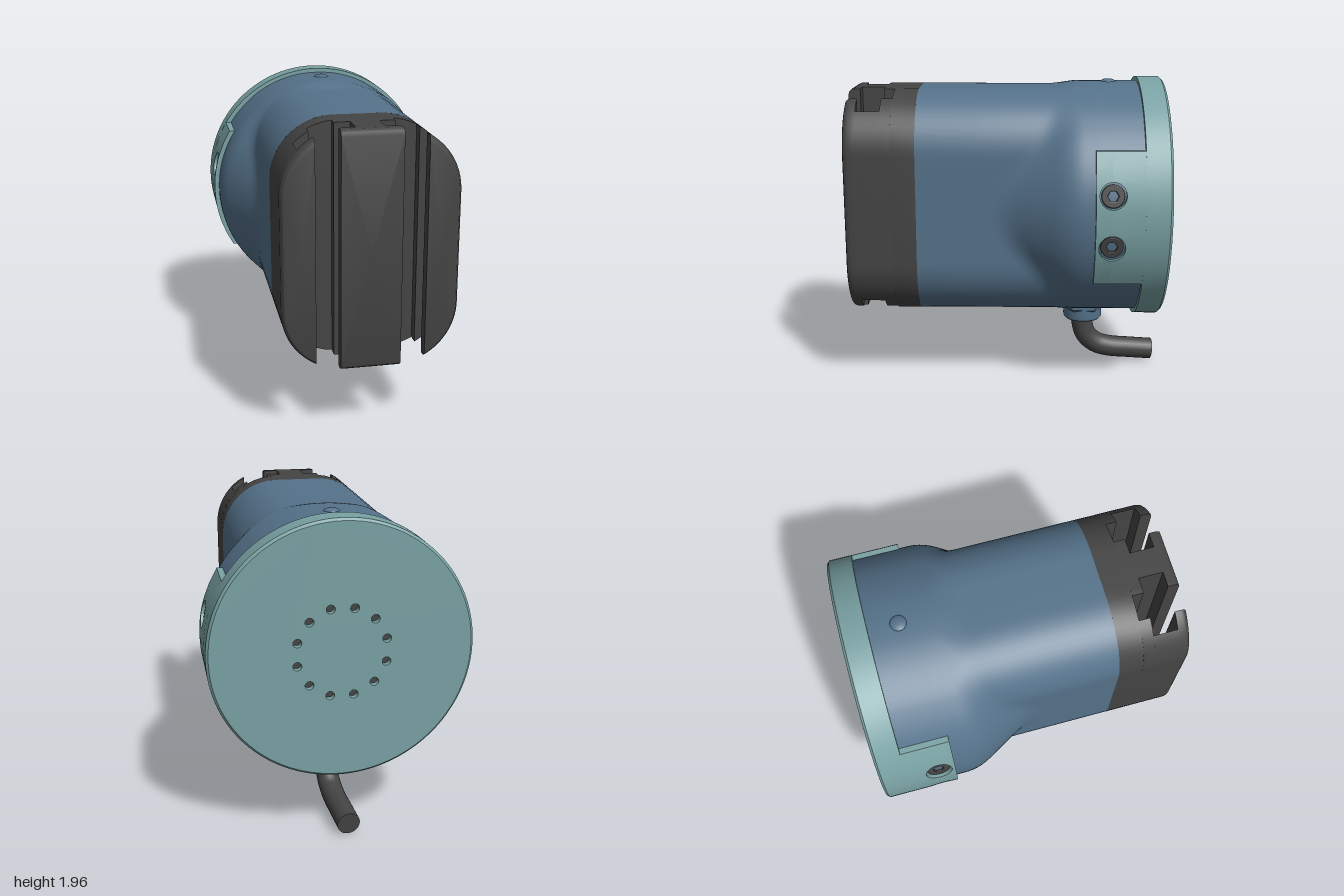
import * as THREE from 'three';
import { toCreasedNormals } from 'three/addons/utils/BufferGeometryUtils.js';

const CY = 1.187;                       // height of the main axis
const W = 0.525, H = 0.72, R = 0.38;    // rounded front profile: half width, half height, corner
const CX = W - R, CH = H - R;           // corner centre

const material = (color) => new THREE.MeshStandardMaterial({ color });
const blue = material(0x55728a);
const teal = material(0x7aa2a4);
const dark = material(0x444444);

function add(parent, name, geometry, mat, x = 0, y = 0, z = 0) {
  const mesh = new THREE.Mesh(geometry, mat);
  mesh.name = name;
  mesh.position.set(x, y, z);
  parent.add(mesh);
  return mesh;
}

// Solid skinned over rings of [x, y, z] points, capped at both ends
function loft(rings, crease = 0.5) {
  const p = [];
  const n = rings[0].length;
  const mid = (r) => [0, 1, 2].map((k) => r.reduce((s, q) => s + q[k], 0) / n);
  const last = rings[rings.length - 1];
  const c0 = mid(rings[0]), c1 = mid(last);
  for (let j = 0; j < n; j++) {
    const k = (j + 1) % n;
    for (let i = 0; i < rings.length - 1; i++) {
      const a = rings[i], b = rings[i + 1];
      p.push(...a[j], ...a[k], ...b[k], ...a[j], ...b[k], ...b[j]);
    }
    p.push(...c0, ...rings[0][k], ...rings[0][j], ...c1, ...last[j], ...last[k]);
  }
  const g = new THREE.BufferGeometry();
  g.setAttribute('position', new THREE.Float32BufferAttribute(p, 3));
  return toCreasedNormals(g, crease);
}

// Distance from the axis to the rounded profile in direction a
function profileRadius(a) {
  const c = Math.abs(Math.cos(a)), s = Math.abs(Math.sin(a));
  const t = Math.min(W / Math.max(c, 1e-6), H / Math.max(s, 1e-6));
  if (t * c <= CX || t * s <= CH) return t;
  const d = CX * c + CH * s;
  return d + Math.sqrt(d * d - CX * CX - CH * CH + R * R);
}

function smoothMax(a, b, k) {
  const h = Math.max(k - Math.abs(a - b), 0) / k;
  return Math.max(a, b) + h * h * k / 4;
}

// Housing: rounded profile in front, merging through a cone into a round back
function housing() {
  const zs = [-0.9, -0.55];
  for (let z = -0.5; z < 0.2; z += 0.025) zs.push(z);
  zs.push(0.555);
  return loft(zs.map((z) => {
    const cone = -smoothMax(-(0.53 - 0.571 * z), -0.75, 0.05);
    return Array.from({ length: 112 }, (_, i) => {
      const a = i / 112 * Math.PI * 2;
      const r = Math.min(smoothMax(profileRadius(a), cone, 0.05), 0.754);
      return [r * Math.cos(a), CY + r * Math.sin(a), z];
    });
  }), 0.8);
}

// Slice of the front profile between x0 and x1; levels are [z, inset]
function strip(x0, x1, levels) {
  const n = 28;
  return loft(levels.map(([z, d]) => {
    const lo = Math.max(x0, d - W), hi = Math.min(x1, W - d);
    const top = [], bottom = [];
    for (let i = 0; i <= n; i++) {
      const x = lo + (hi - lo) * (0.5 - 0.5 * Math.cos(Math.PI * i / n));
      const e = Math.max(Math.abs(x) - CX, 0);
      const h = CH + Math.sqrt(Math.max((R - d) ** 2 - e * e, 0));
      bottom.push([x, CY - h, z]);
      top.unshift([x, CY + h, z]);
    }
    return [...bottom, ...top];
  }));
}

// Curved side tab with two screw holes, made of a front and a back half
function sideTab() {
  const tab = new THREE.Group();
  const holeY = 0.16, holeR = 0.08, holeZ = -0.635;
  const ys = [-0.41, -0.325];
  for (const c of [-holeY, holeY]) {
    for (let i = 0; i <= 20; i++) ys.push(c - holeR * Math.cos(Math.PI * i / 20));
    ys.push(c < 0 ? 0 : 0.325);
  }
  ys.push(0.41);
  const half = (zRange) => loft(ys.map((y) => {
    const w = Math.sqrt(Math.max(holeR ** 2 - (Math.abs(y) - holeY) ** 2, 0));
    const [z0, z1] = zRange(w);
    const xi = Math.sqrt(0.745 ** 2 - y * y), xo = Math.sqrt(0.78 ** 2 - y * y);
    return [[xi, y, z0], [xi, y, z1], [xo, y, z1], [xo, y, z0]];
  }));
  add(tab, 'tabFront', half((w) => [holeZ + w, -0.535]), teal);
  add(tab, 'tabBack', half((w) => [-0.85, holeZ - w]), teal);

  // Socket-head screws set into the holes
  const face = new THREE.Shape().absarc(0, 0, 0.07, 0, Math.PI * 2);
  const hex = new THREE.Path();
  for (let i = 0; i <= 6; i++) {
    const a = -i * Math.PI / 3;
    hex[i ? 'lineTo' : 'moveTo'](0.033 * Math.cos(a), 0.033 * Math.sin(a));
  }
  face.holes.push(hex);
  const head = new THREE.ExtrudeGeometry(face, {
    depth: 0.03, bevelThickness: 0.008, bevelSize: 0.006, bevelOffset: -0.006, bevelSegments: 2, curveSegments: 24,
  });
  for (const y of [-holeY, holeY]) {
    const screw = new THREE.Group();
    screw.name = 'screw';
    add(screw, 'screwHead', head, dark, 0, 0, 0.725);
    add(screw, 'screwCore', new THREE.CylinderGeometry(0.068, 0.068, 0.05, 32).rotateX(Math.PI / 2), dark, 0, 0, 0.71);
    const a = Math.asin(y / 0.78);
    screw.rotation.set(-a, Math.PI / 2, 0, 'YXZ');
    screw.position.z = holeZ;
    tab.add(screw);
  }
  return tab;
}

export function createModel() {
  const model = new THREE.Group();
  model.name = 'sensorHousing';
  add(model, 'housing', housing(), blue);

  // Front block with two vertical T-slots
  const block = new THREE.Group();
  block.name = 'slottedBlock';
  model.add(block);
  const narrow = [[-W, -0.325], [-0.18, 0.18], [0.325, W]];
  const wide = [[-W, -0.415], [-0.085, 0.085], [0.415, W]];
  const layers = [
    ['blockBase', [[-W, W]], [[0.555, 0], [0.705, 0]]],
    ['slotFloor', narrow, [[0.705, 0], [0.775, 0]]],
    ['slotWall', wide, [[0.775, 0], [0.925, 0]]],
    ['slotLip', narrow, [[0.925, 0], [0.965, 0], [0.982, 0.005], [0.995, 0.017], [1, 0.035]]],
  ];
  for (const [name, spans, levels] of layers)
    for (const [a, b] of spans) add(block, name, strip(a, b, levels), dark);

  // Back cap: chamfered rim and a plate with a ring of holes
  const cap = new THREE.Group();
  cap.name = 'backCap';
  cap.position.y = CY;
  model.add(cap);
  const rim = [[0.765, -0.99], [0.78, -0.975], [0.78, -0.83], [0.74, -0.83]].map((q) => new THREE.Vector2(...q));
  add(cap, 'capRim', toCreasedNormals(new THREE.LatheGeometry(rim, 96).rotateX(Math.PI / 2), 0.4), teal);
  const plate = new THREE.Shape().absarc(0, 0, 0.765, 0, Math.PI * 2);
  for (let i = 0; i < 12; i++) {
    const a = (i + 0.5) * Math.PI / 6;
    plate.holes.push(new THREE.Path().absarc(0.27 * Math.cos(a), 0.27 * Math.sin(a), 0.026, 0, Math.PI * 2, true));
  }
  add(cap, 'capPlate', new THREE.ExtrudeGeometry(plate, { depth: 0.04, bevelEnabled: false, curveSegments: 48 }), teal, 0, 0, -0.99);
  add(cap, 'holeBacking', new THREE.CylinderGeometry(0.35, 0.35, 0.05, 40).rotateX(Math.PI / 2), dark, 0, 0, -0.925);
  for (const [name, turn] of [['leftTab', 0], ['rightTab', Math.PI]]) {
    const tab = sideTab();
    tab.name = name;
    tab.rotation.z = turn;
    cap.add(tab);
  }

  // Small domed button on top
  add(model, 'topButton', new THREE.SphereGeometry(0.05, 32, 16).scale(1, 0.4, 1), blue, 0, 1.934, -0.65);

  // Cable gland under the body
  const gland = new THREE.Group();
  gland.name = 'cableGland';
  gland.position.z = -0.515;
  model.add(gland);
  add(gland, 'glandNut', toCreasedNormals(new THREE.CylinderGeometry(0.155, 0.155, 0.07, 6), 0.3), blue, 0, 0.45);
  add(gland, 'glandNutChamfer', toCreasedNormals(new THREE.CylinderGeometry(0.155, 0.135, 0.015, 6), 0.3), blue, 0, 0.4075);
  const sleeve = [[0, 0.325], [0.1, 0.325], [0.118, 0.331], [0.128, 0.343], [0.13, 0.36], [0.13, 0.45]];
  add(gland, 'glandSleeve', toCreasedNormals(new THREE.LatheGeometry(sleeve.map((q) => new THREE.Vector2(...q)), 40), 0.5), blue);

  // Cable bending toward the back
  const path = new THREE.CatmullRomCurve3([
    [0, 0.4, -0.51], [0, 0.3, -0.512], [-0.004, 0.205, -0.54], [-0.012, 0.14, -0.605],
    [-0.02, 0.11, -0.69], [-0.035, 0.092, -0.84], [-0.05, 0.077, -0.993],
  ].map((q) => new THREE.Vector3(...q)));
  add(model, 'cable', new THREE.TubeGeometry(path, 48, 0.071, 24), dark);
  const end = path.getPoint(1);
  const tip = add(model, 'cableEnd', new THREE.CircleGeometry(0.071, 24), dark, end.x, end.y, end.z);
  tip.quaternion.setFromUnitVectors(new THREE.Vector3(0, 0, 1), path.getTangent(1));
  return model;
}
